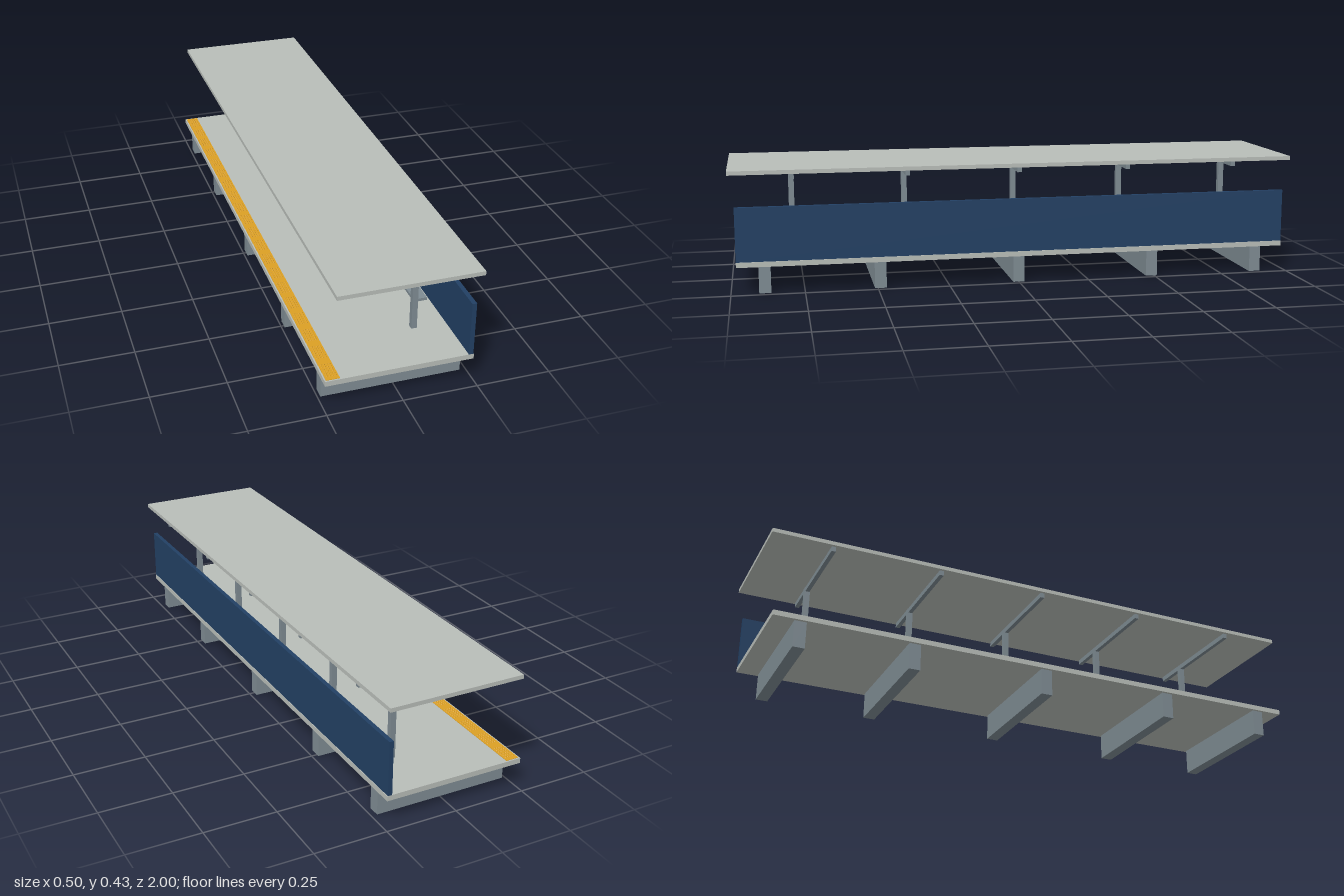
import * as THREE from 'three';

const concrete = new THREE.MeshStandardMaterial({ name: 'concrete', color: 0xb9beb9 });
const steel = new THREE.MeshStandardMaterial({ name: 'steelGrey', color: 0x7f8c93 });
const navy = new THREE.MeshStandardMaterial({ name: 'navyBlue', color: 0x224064 });
const yellow = new THREE.MeshStandardMaterial({ name: 'safetyYellow', color: 0xdca024 });

// Box given by its extents on each axis
function box(parent, name, material, [x0, x1], [y0, y1], [z0, z1]) {
  const mesh = new THREE.Mesh(new THREE.BoxGeometry(x1 - x0, y1 - y0, z1 - z0), material);
  mesh.position.set((x0 + x1) / 2, (y0 + y1) / 2, (z0 + z1) / 2);
  mesh.name = name;
  parent.add(mesh);
}
const around = (c, size) => [c - size / 2, c + size / 2];

function createBench(z) {
  const bench = new THREE.Group();
  bench.name = 'bench';
  box(bench, 'benchSeat', steel, [0.143, 0.189], [0.153, 0.163], around(z, 0.24));
  for (const side of [-1, 1]) {
    box(bench, 'benchLeg', steel, [0.162, 0.17], [0.112, 0.153], around(z + side * 0.07, 0.008));
  }
  return bench;
}

// Yellow strip with raised domes grouped into tiles
function createTactileStrip() {
  const strip = new THREE.Group();
  strip.name = 'tactileStrip';
  box(strip, 'stripPlate', yellow, [-0.245, -0.2], [0.112, 0.1135], [-0.975, 0.975]);
  const tiles = 20, rows = 6, columns = 4, pitch = 1.95 / tiles;
  const dome = new THREE.CylinderGeometry(0.0025, 0.004, 0.003, 8);
  const domes = new THREE.InstancedMesh(dome, yellow, tiles * rows * columns);
  domes.name = 'stripDomes';
  const place = new THREE.Matrix4();
  let n = 0;
  for (let t = 0; t < tiles; t++) {
    for (let r = 0; r < rows; r++) {
      for (let c = 0; c < columns; c++) {
        const z = (t - (tiles - 1) / 2) * pitch + (r - (rows - 1) / 2) * 0.012;
        domes.setMatrixAt(n++, place.makeTranslation(-0.236 + c * 0.009, 0.1145, z));
      }
    }
  }
  strip.add(domes);
  return strip;
}

export function createModel() {
  const model = new THREE.Group();
  model.name = 'stationPlatform';

  // Deck on transverse piers
  box(model, 'deck', concrete, [-0.25, 0.24], [0.094, 0.112], [-0.98, 0.98]);
  for (const z of [-0.885, -0.49, 0, 0.49, 0.885]) {
    box(model, 'pier', steel, [-0.24, 0.23], [0, 0.094], around(z, 0.041));
  }

  // Rear wall
  box(model, 'backWall', navy, [0.223, 0.238], [0.112, 0.3], [-0.98, 0.98]);

  // Canopy on posts and cross beams
  box(model, 'canopyRoof', concrete, [-0.222, 0.25], [0.412, 0.426], [-1, 1]);
  for (const z of [-0.785, -0.3925, 0, 0.3925, 0.785]) {
    box(model, 'canopyPost', steel, [0.103, 0.122], [0.112, 0.41], around(z, 0.019));
    box(model, 'canopyBeam', steel, [-0.212, 0.24], [0.394, 0.412], around(z, 0.015));
  }

  // One bench in each bay
  for (const z of [-0.59, -0.196, 0.196, 0.59]) model.add(createBench(z));

  model.add(createTactileStrip());
  return model;
}
